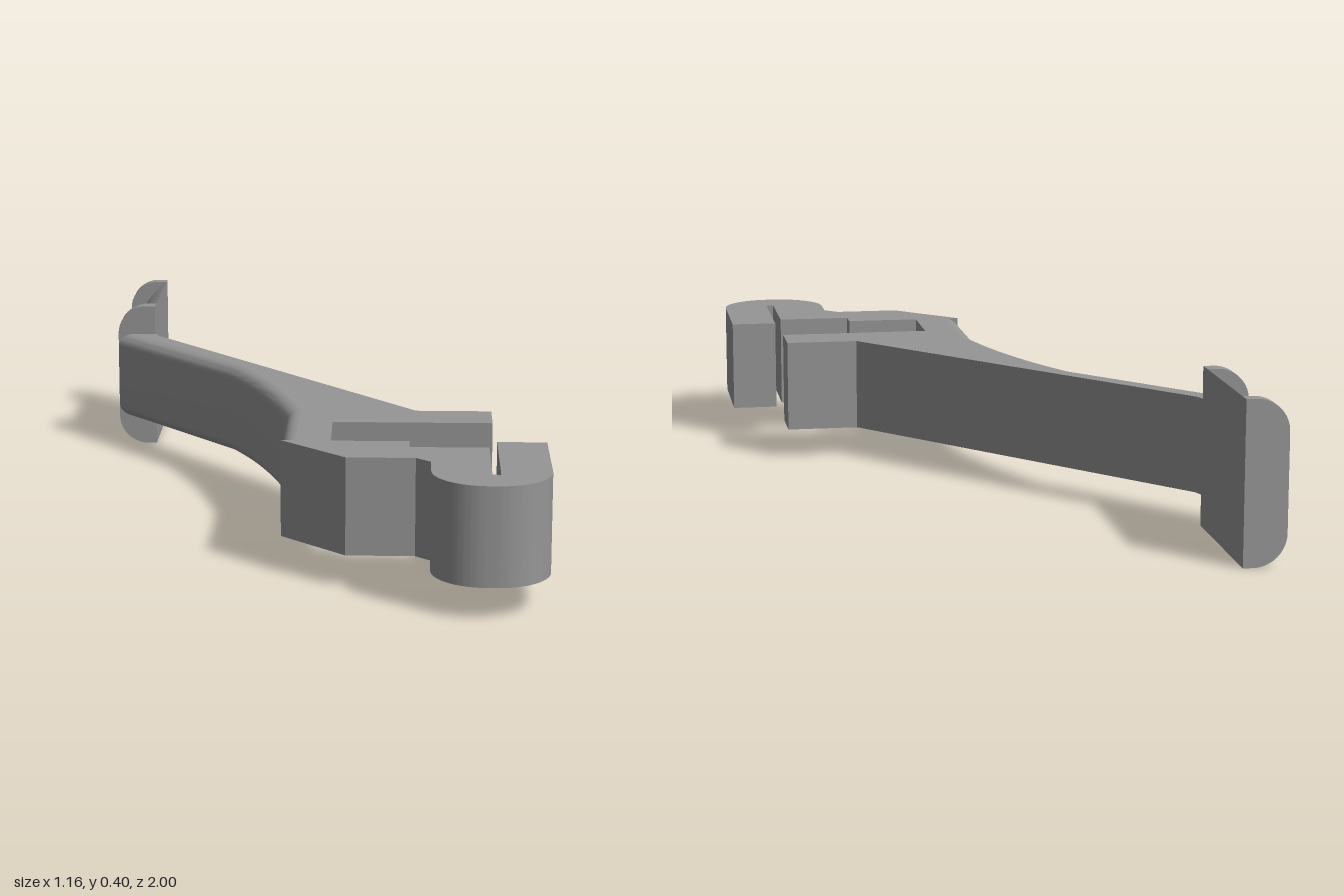
import * as THREE from 'three';
import { toCreasedNormals } from 'three/addons/utils/BufferGeometryUtils.js';

const Y0 = 0.08, Y1 = 0.32, R = 0.035; // bracket bottom, top and outer edge rounding

export function createModel() {
  const group = new THREE.Group();
  const grey = new THREE.MeshStandardMaterial({ color: 0x969696 });
  grey.name = 'grey';

  const add = (name, geometry) => {
    const mesh = new THREE.Mesh(toCreasedNormals(geometry, 0.45), grey);
    mesh.name = name;
    group.add(mesh);
  };
  const extrude = (shape, depth) =>
    new THREE.ExtrudeGeometry(shape, { depth, bevelEnabled: false, curveSegments: 16 });

  // Outer edge of the arm, seen from above (x, z)
  const curve = new THREE.QuadraticBezierCurve(
    new THREE.Vector2(-0.24, -0.2), new THREE.Vector2(-0.12, 0.02), new THREE.Vector2(-0.06, 0.3));
  const path = [new THREE.Vector2(-0.58, -0.6), ...curve.getPoints(14), new THREE.Vector2(-0.06, 0.6)];

  // Inward mitred normals along that edge
  const segNormal = (i) => {
    const d = path[i + 1].clone().sub(path[i]).normalize();
    return new THREE.Vector2(d.y, -d.x);
  };
  const normals = path.map((p, i) => {
    const a = segNormal(Math.max(i - 1, 0));
    const b = segNormal(Math.min(i, path.length - 2));
    const n = a.clone().add(b).normalize();
    return n.divideScalar(n.dot(a));
  });

  // Flat-topped bracket: arm, jaw, step and slotted hook
  const s = new THREE.Shape();
  path.forEach((p, i) => {
    const q = p.clone().addScaledVector(normals[i], R);
    if (i) s.lineTo(q.x, q.y); else s.moveTo(q.x, q.y);
  });
  [[-0.06, 0.6], [0.1, 0.757], [0.265, 0.757], [0.3, 0.79], [0.3, 0.87]].forEach(([x, z]) => s.lineTo(x, z));
  s.absarc(0.43, 0.87, 0.13, Math.PI, Math.PI / 2, true);
  s.lineTo(0.45, 1);
  s.absarc(0.45, 0.87, 0.13, Math.PI / 2, 0, true);
  [[0.58, 0.6], [0.46, 0.6], [0.46, 0.9], [0.44, 0.9], [0.44, 0.655], [0.25, 0.655], [0.25, 0.6],
    [0.06, 0.6], [0.06, 0.415], [0.455, 0.415], [0.455, 0.292], [0.267, 0.292],
    [-0.465, -0.58], [-0.475, -0.61]].forEach(([x, z]) => s.lineTo(x, z));
  add('bracket', extrude(s, Y1 - Y0).rotateX(Math.PI / 2).translate(0, Y1, 0));

  // Rounded rim along the outer edge, lofted from a section with two quarter rounds
  const section = [];
  for (let k = 0; k <= 6; k++) {
    const t = (k / 6) * Math.PI / 2;
    section.push([R * (1 - Math.sin(t)), Y1 - R * (1 - Math.cos(t))]);
  }
  for (let k = 6; k >= 0; k--) section.push([section[k][0], Y0 + Y1 - section[k][1]]);
  const pos = [], idx = [], m = section.length;
  path.forEach((p, i) => section.forEach(([off, y], j) => {
    pos.push(p.x + normals[i].x * off, y, p.y + normals[i].y * off);
    if (i < path.length - 1 && j < m - 1) {
      const a = i * m + j;
      idx.push(a, a + 1, a + m, a + 1, a + m + 1, a + m);
    }
  }));
  const rim = new THREE.BufferGeometry();
  rim.setAttribute('position', new THREE.Float32BufferAttribute(pos, 3));
  rim.setIndex(idx);
  add('roundedArmEdge', rim);

  // Paddle end flanges with rounded outer corners
  const flange = new THREE.Shape();
  flange.moveTo(-0.475, 0);
  flange.lineTo(-0.475, 0.4);
  flange.lineTo(-0.5, 0.4);
  flange.absarc(-0.5, 0.32, 0.08, Math.PI / 2, Math.PI, false);
  flange.lineTo(-0.58, 0.08);
  flange.absarc(-0.5, 0.08, 0.08, Math.PI, Math.PI * 1.5, false);
  add('paddleBackFlange', extrude(flange, 0.035).translate(0, 0, -1));
  add('paddleFrontFlange', extrude(flange, 0.04).translate(0, 0, -0.64));

  // Bowed paddle face between the flanges
  const bow = new THREE.Shape();
  const half = Math.asin(0.8);
  bow.moveTo(-0.475, 0);
  bow.lineTo(-0.475, 0.4);
  bow.absarc(-0.325, 0.2, 0.25, Math.PI - half, Math.PI + half, false);
  add('paddle', extrude(bow, 0.325).translate(0, 0, -0.965));

  return group;
}
